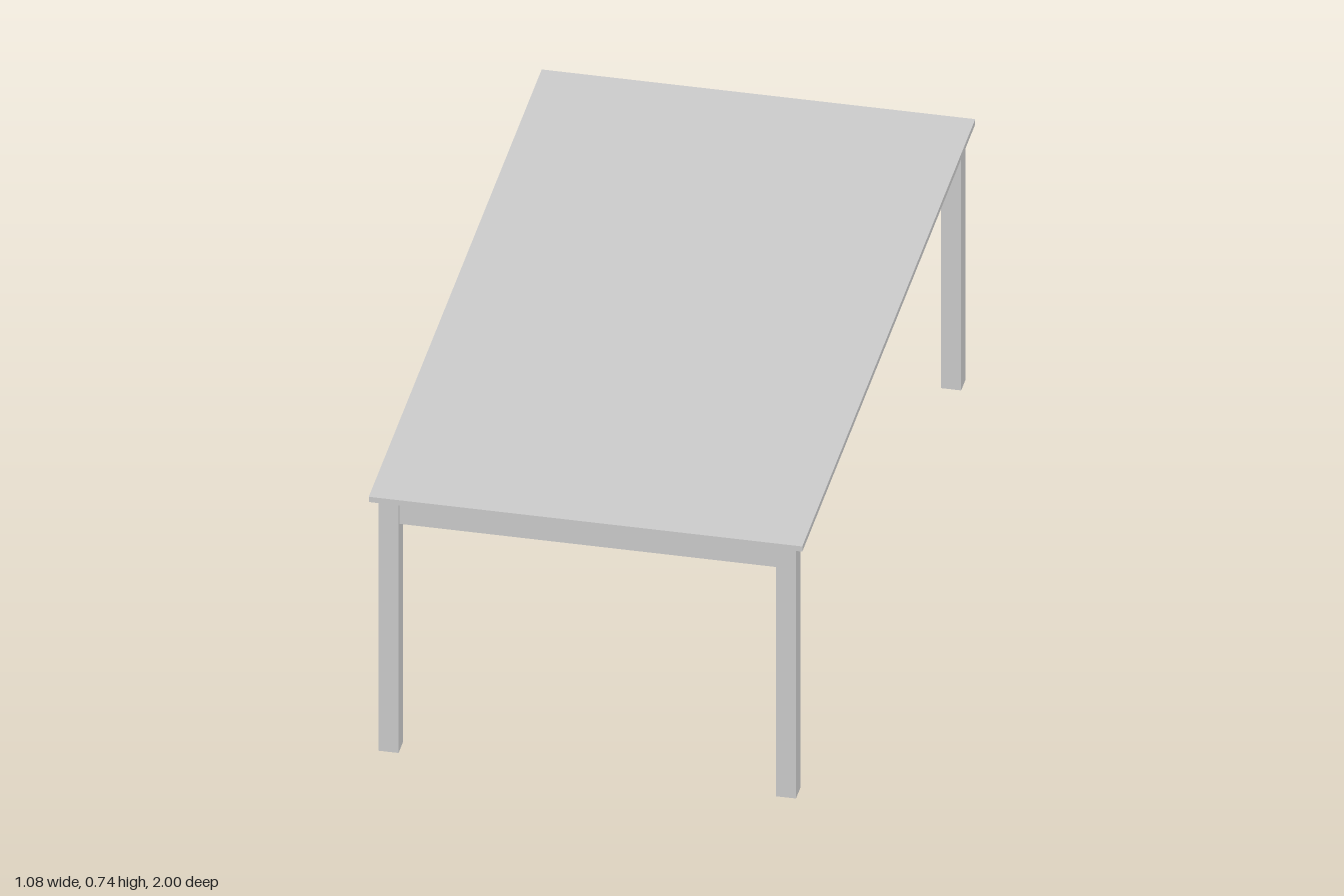
import * as THREE from 'three';

const WIDTH = 1.08, LENGTH = 2, HEIGHT = 0.74, TOP = 0.015;
const LEG = 0.05, LEG_X = 0.495, LEG_Z = 0.955;
const APRON_H = 0.072, APRON_T = 0.03;

export function createModel() {
  const table = new THREE.Group();
  table.name = 'table';
  const material = new THREE.MeshStandardMaterial({ color: 0xcccccc, flatShading: true });

  const addBox = (name, w, h, d, x, y, z) => {
    const mesh = new THREE.Mesh(new THREE.BoxGeometry(w, h, d), material);
    mesh.name = name;
    mesh.position.set(x, y, z);
    table.add(mesh);
  };

  // Thin tabletop overhanging the frame
  addBox('tabletop', WIDTH, TOP, LENGTH, 0, HEIGHT - TOP / 2, 0);

  const under = HEIGHT - TOP;
  const apronY = under - APRON_H / 2;

  for (const s of [1, -1]) {
    // Square legs at the corners
    for (const t of [1, -1]) {
      const name = (t > 0 ? 'front' : 'back') + (s > 0 ? 'Left' : 'Right') + 'Leg';
      addBox(name, LEG, under, LEG, s * LEG_X, under / 2, t * LEG_Z);
    }
    // Aprons between the legs, set slightly back from the leg faces
    addBox(s > 0 ? 'leftApron' : 'rightApron',
      APRON_T, APRON_H, 2 * LEG_Z - LEG, s * LEG_X, apronY, 0);
    addBox(s > 0 ? 'frontApron' : 'backApron',
      2 * LEG_X - LEG, APRON_H, APRON_T, 0, apronY, s * LEG_Z);
  }
  return table;
}
